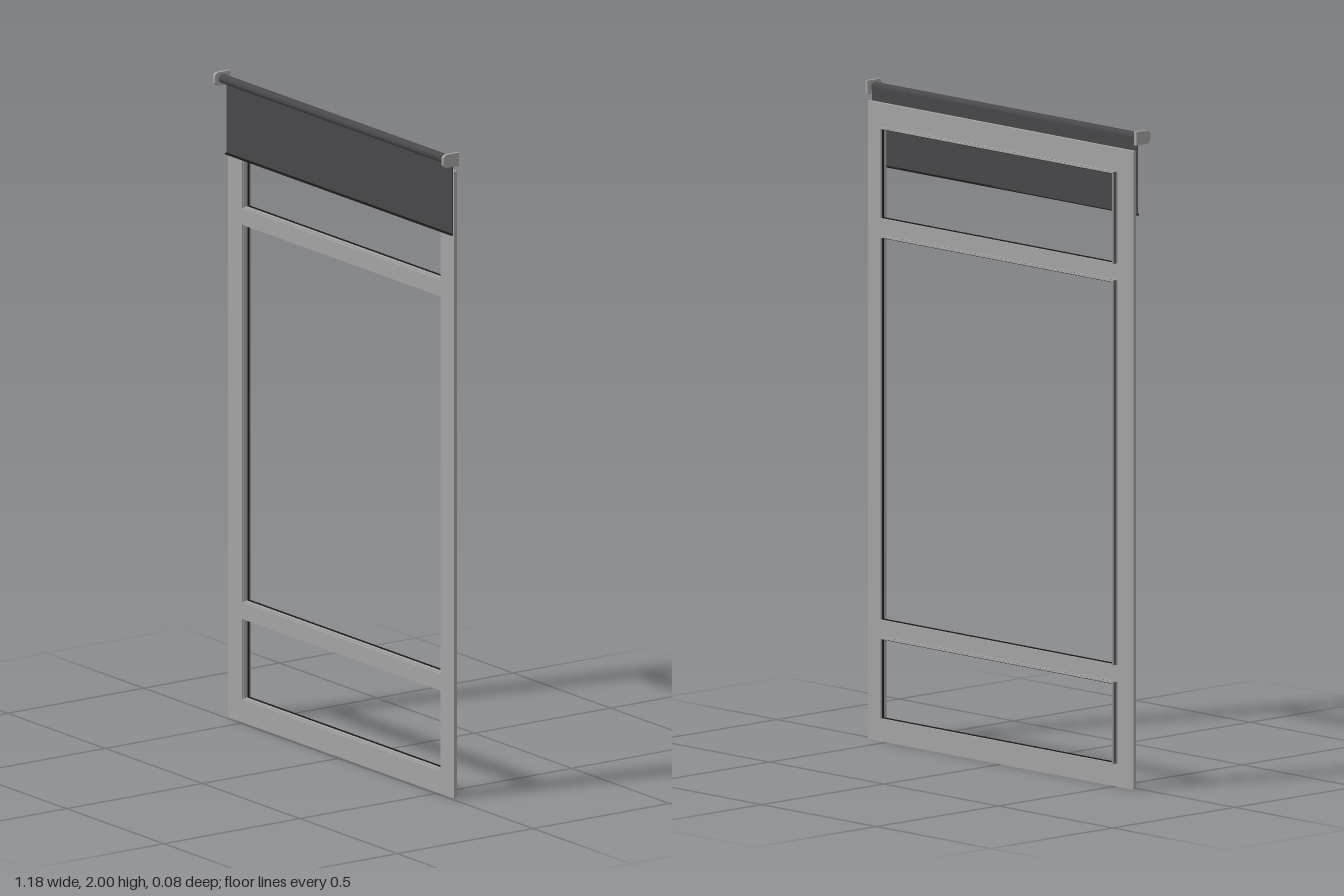
import * as THREE from 'three';

const frameGrey = new THREE.MeshStandardMaterial({ name: 'frameGrey', color: 0xa4a4a4 });
const shadeCharcoal = new THREE.MeshStandardMaterial({ name: 'shadeCharcoal', color: 0x48474a });
const gasketBlack = new THREE.MeshStandardMaterial({ name: 'gasketBlack', color: 0x1c1c1c });

// Closed rectangle from x0,y0 to x1,y1
function rectangle(PathType, x0, y0, x1, y1) {
  const p = new PathType();
  p.moveTo(x0, y0);
  p.lineTo(x1, y0);
  p.lineTo(x1, y1);
  p.lineTo(x0, y1);
  p.closePath();
  return p;
}

function extrude(name, shape, z0, z1, material) {
  const geometry = new THREE.ExtrudeGeometry(shape, { depth: z1 - z0, bevelEnabled: false });
  const mesh = new THREE.Mesh(geometry, material);
  mesh.position.z = z0;
  mesh.name = name;
  return mesh;
}

// Rectangular ring of a given bar width
function ring(name, halfX, y0, y1, width, z0, z1, material) {
  const shape = rectangle(THREE.Shape, -halfX, y0, halfX, y1);
  shape.holes.push(rectangle(THREE.Path, -halfX + width, y0 + width, halfX - width, y1 - width));
  return extrude(name, shape, z0, z1, material);
}

export function createModel() {
  const model = new THREE.Group();
  model.name = 'windowWithRollerShade';

  // Flat frame with three open panes
  const panes = [['lower', 0.07, 0.32], ['middle', 0.37, 1.54], ['upper', 1.59, 1.87]];
  const outline = rectangle(THREE.Shape, -0.58, 0, 0.58, 1.94);
  for (const [, y0, y1] of panes) {
    outline.holes.push(rectangle(THREE.Path, -0.51, y0, 0.51, y1));
  }
  model.add(extrude('windowFrame', outline, -0.021, -0.01, frameGrey));

  // Glazing beads with a dark gasket behind each pane opening
  for (const [label, y0, y1] of panes) {
    const group = new THREE.Group();
    group.name = label + 'PaneTrim';
    group.add(
      ring('frontBead', 0.51, y0, y1, 0.004, -0.028, -0.016, frameGrey),
      ring('gasket', 0.509, y0 + 0.001, y1 - 0.001, 0.006, -0.033, -0.028, gasketBlack),
      ring('backBead', 0.51, y0, y1, 0.004, -0.04, -0.033, frameGrey)
    );
    model.add(group);
  }

  // Roller tube
  const roller = new THREE.Mesh(new THREE.CylinderGeometry(0.014, 0.014, 1.164, 24), shadeCharcoal);
  roller.rotation.z = Math.PI / 2;
  roller.position.set(0, 1.979, 0.009);
  roller.name = 'rollerTube';
  model.add(roller);

  // Hanging fabric and its hem bar
  const fabric = new THREE.Mesh(new THREE.BoxGeometry(1.16, 0.233, 0.002), shadeCharcoal);
  fabric.position.set(0, 1.8625, -0.004);
  fabric.name = 'shadeFabric';
  const hem = new THREE.Mesh(new THREE.BoxGeometry(1.16, 0.006, 0.006), gasketBlack);
  hem.position.set(0, 1.746, -0.002);
  hem.name = 'hemBar';
  model.add(fabric, hem);

  // End brackets: square at the back, chamfered at the front
  const profile = new THREE.Shape();
  [[0.02, 1.959], [0.02, 2], [-0.028, 2], [-0.038, 1.991], [-0.038, 1.968], [-0.028, 1.959]]
    .forEach(([x, y], i) => (i ? profile.lineTo(x, y) : profile.moveTo(x, y)));
  profile.closePath();
  for (const side of [-1, 1]) {
    const bracket = extrude(side > 0 ? 'leftBracket' : 'rightBracket', profile, 0, 0.01, frameGrey);
    bracket.rotation.y = Math.PI / 2;
    bracket.position.set(side > 0 ? 0.582 : -0.592, 0, 0);
    model.add(bracket);
  }
  return model;
}
